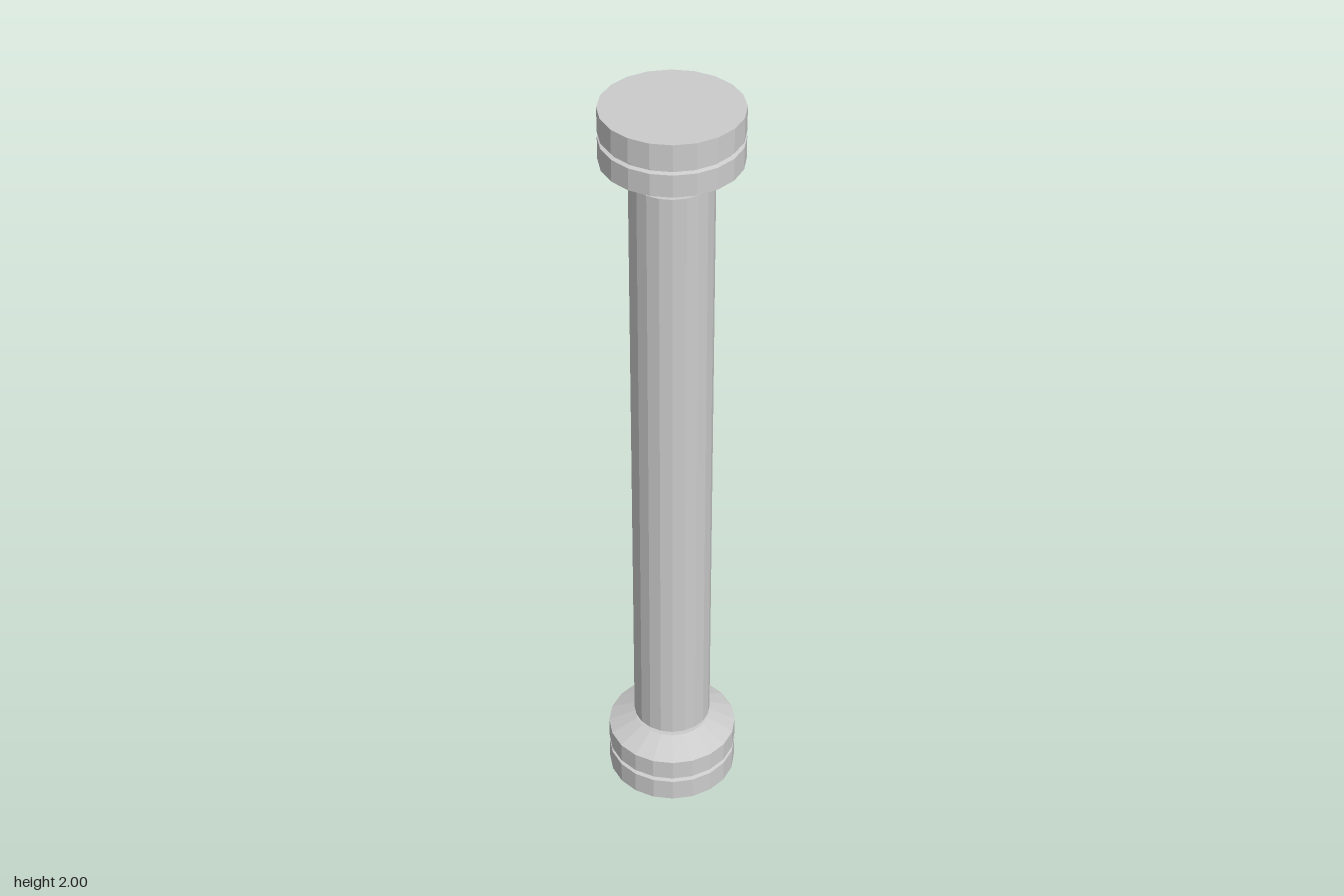
import * as THREE from 'three';

const SIDES = 20;
const HEIGHT = 2;

export function createModel() {
  const model = new THREE.Group();
  model.name = 'column';
  const material = new THREE.MeshStandardMaterial({ color: 0xcccccc, flatShading: true });

  const turned = (name, profile) => {
    const points = profile.map(([r, y]) => new THREE.Vector2(r, y));
    const mesh = new THREE.Mesh(new THREE.LatheGeometry(points, SIDES), material);
    mesh.name = name;
    model.add(mesh);
    return mesh;
  };

  // Straight shaft, closed at both ends
  turned('shaft', [[0, 0.18], [0.1, 0.18], [0.1, HEIGHT - 0.18], [0, HEIGHT - 0.18]]);

  // Foot disc, groove, collar with sloped shoulder, then a narrow neck
  const endProfile = [
    [0, 0], [0.168, 0], [0.168, 0.062],
    [0.158, 0.065], [0.158, 0.073],
    [0.168, 0.076], [0.168, 0.132],
    [0.098, 0.165], [0.085, 0.165], [0.085, 0.182], [0, 0.182],
  ];
  turned('base', endProfile);

  // The capital is the base turned upside down
  const capital = turned('capital', endProfile);
  capital.rotation.x = Math.PI;
  capital.position.y = HEIGHT;

  return model;
}
